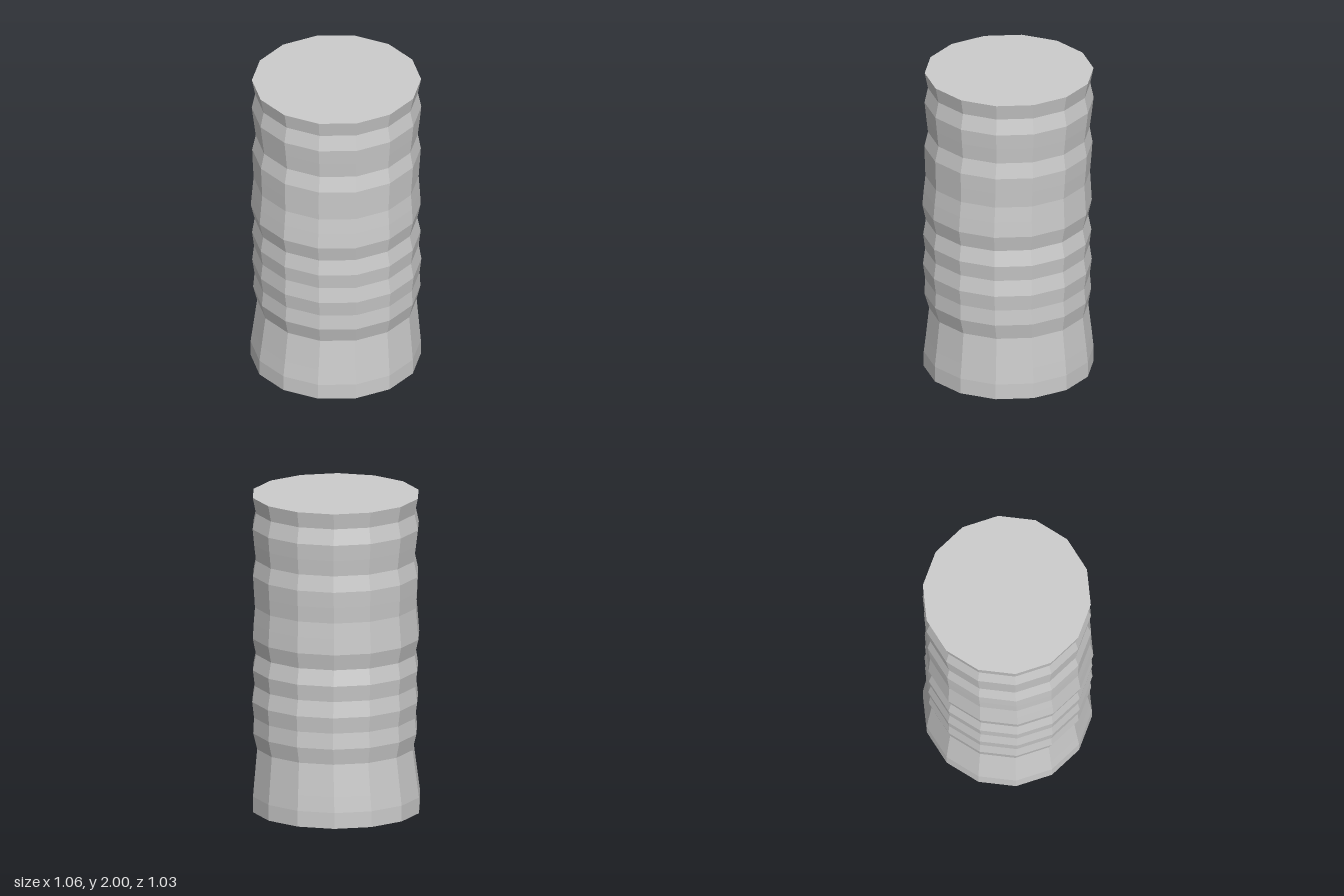
import * as THREE from 'three';

const SIDES = 14;
const STEPS = 20;

// Rings from bottom to top, every 0.1: radius, and drift of the centre in x and z
const RINGS = [
  [0.525, -0.002, -0.003], [0.525, -0.002, -0.003], [0.514, 0.001, -0.003], [0.503, 0.003, -0.002],
  [0.492, 0.005, -0.001], [0.516, 0.002, 0.004], [0.509, 0.003, 0.006], [0.522, 0.001, 0.006],
  [0.508, -0.002, 0.006], [0.520, -0.002, 0.006], [0.502, -0.005, 0.007], [0.524, -0.006, 0.006],
  [0.517, -0.004, 0.005], [0.509, -0.002, 0.003], [0.515, 0, 0.001], [0.520, 0.002, 0],
  [0.500, 0.005, -0.002], [0.512, 0.005, -0.003], [0.523, 0.004, -0.004], [0.502, 0.004, -0.004],
  [0.522, 0.004, -0.004],
];

export function createModel() {
  const model = new THREE.Group();
  model.name = 'column';

  const stone = new THREE.MeshStandardMaterial({ color: 0xcccccc });
  stone.name = 'light grey stone';
  stone.flatShading = true;

  // Unit cylinder with one corner on the x axis, scaled and shifted ring by ring
  const geometry = new THREE.CylinderGeometry(1, 1, 2, SIDES, STEPS, false, Math.PI / 2);
  geometry.translate(0, 1, 0);
  const p = geometry.attributes.position;
  for (let i = 0; i < p.count; i++) {
    const [radius, dx, dz] = RINGS[Math.round(p.getY(i) * 10)];
    p.setX(i, p.getX(i) * radius + dx);
    p.setZ(i, p.getZ(i) * radius + dz);
  }
  geometry.computeVertexNormals();

  const shaft = new THREE.Mesh(geometry, stone);
  shaft.name = 'rippledShaft';
  model.add(shaft);
  return model;
}
